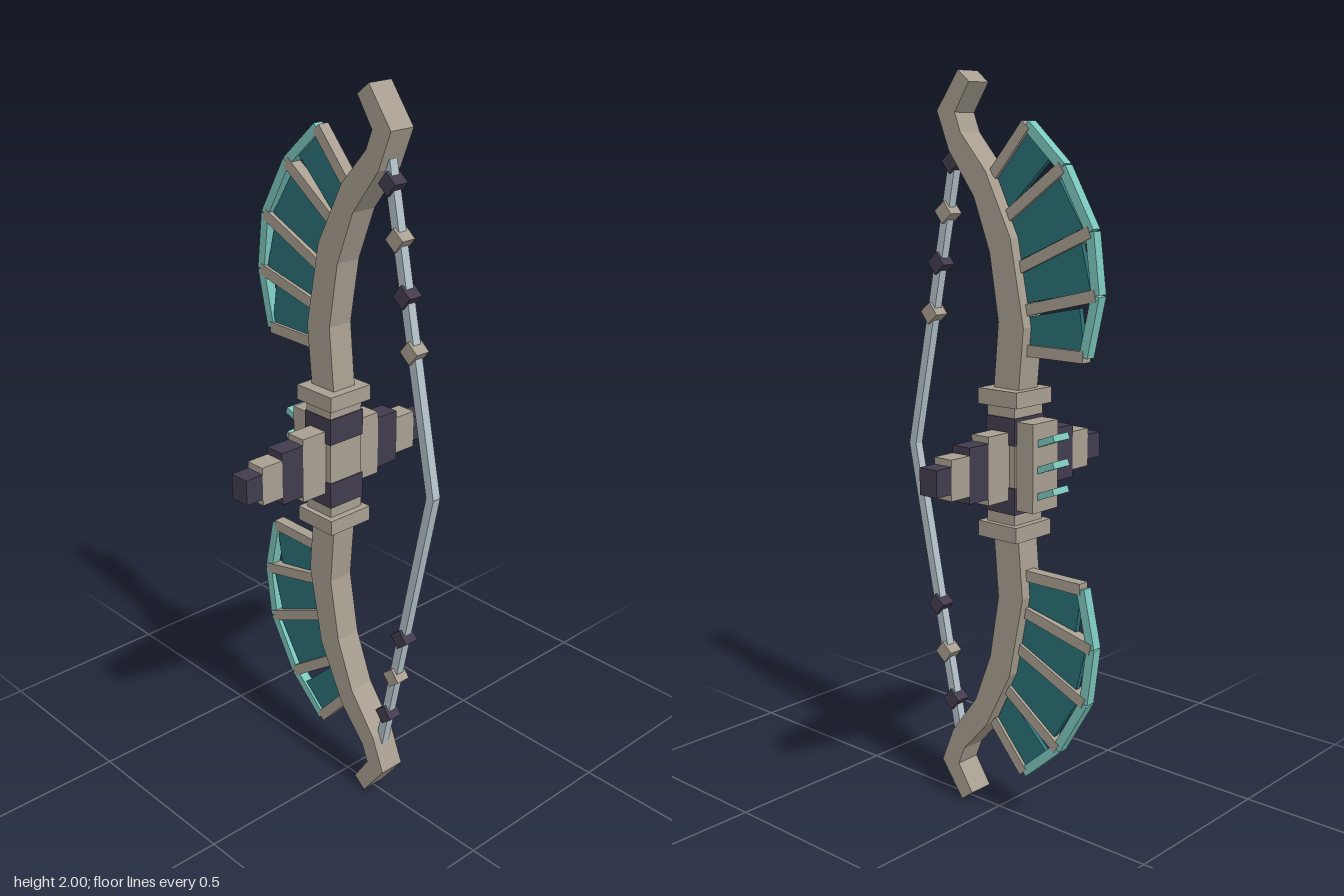
import * as THREE from 'three';

const mat = (name, color) => {
  const m = new THREE.MeshStandardMaterial({ color });
  m.name = name;
  return m;
};

export function createModel() {
  const tan = mat('bone tan', 0xa89f91);
  const dark = mat('dark wrap', 0x423c4e);
  const teal = mat('teal membrane', 0x2a7076);
  const mint = mat('mint edge', 0x7cc8be);
  const cord = mat('pale string', 0xb4c2ca);

  const bow = new THREE.Group();
  bow.name = 'bow';

  const box = (name, m, w, h, d, x, y, z = 0, parent = bow) => {
    const b = new THREE.Mesh(new THREE.BoxGeometry(w, h, d), m);
    b.name = name;
    b.position.set(x, y, z);
    parent.add(b);
    return b;
  };
  // Square bar between two points in the xy plane
  const bar = (name, m, [x0, y0], [x1, y1], width, depth, parent = bow) => {
    const len = Math.hypot(x1 - x0, y1 - y0);
    const b = box(name, m, len, width, depth, (x0 + x1) / 2, (y0 + y1) / 2, 0, parent);
    b.rotation.z = Math.atan2(y1 - y0, x1 - x0);
    return b;
  };
  // Flat outline extruded evenly about z = 0
  const slab = (name, m, pts, depth, parent = bow) => {
    const shape = new THREE.Shape(pts.map(([x, y]) => new THREE.Vector2(x, y)));
    const g = new THREE.ExtrudeGeometry(shape, { depth, bevelEnabled: false });
    g.translate(0, 0, -depth / 2);
    const s = new THREE.Mesh(g, m);
    s.name = name;
    parent.add(s);
  };

  // Limb outline, rib lines (root, tip) and membranes of the upper half
  const limb = [
    [-0.015, 1.17], [-0.015, 1.2], [-0.03, 1.37], [0, 1.545], [0.055, 1.685],
    [0.142, 1.8], [0.183, 1.9], [0.108, 2], [0.07, 1.97], [0.12, 1.895],
    [0.1, 1.845], [0.015, 1.75], [-0.07, 1.585], [-0.115, 1.36], [-0.1, 1.2], [-0.1, 1.17],
  ];
  const ribs = [
    [[-0.1, 1.3], [-0.29, 1.3]],
    [[-0.09, 1.4], [-0.325, 1.455]],
    [[-0.06, 1.5], [-0.305, 1.608]],
    [[-0.03, 1.63], [-0.216, 1.76]],
    [[0.01, 1.74], [-0.1, 1.863]],
  ];
  const membranes = [
    [[-0.1, 1.31], [-0.1, 1.385], [-0.272, 1.42], [-0.288, 1.31]],
    [[-0.1, 1.42], [-0.08, 1.495], [-0.275, 1.58], [-0.305, 1.465]],
    [[-0.06, 1.52], [-0.035, 1.615], [-0.2, 1.735], [-0.278, 1.615]],
    [[-0.04, 1.655], [0, 1.735], [-0.105, 1.85], [-0.182, 1.79]],
  ];

  for (const side of [1, -1]) {
    const half = new THREE.Group();
    half.name = side > 0 ? 'upperHalf' : 'lowerHalf';
    bow.add(half);
    const flip = ([x, y]) => [x, 1 + side * (y - 1)];

    slab('limb', tan, limb.map(flip), 0.074, half);

    // Fan fin: ribs, webbing and bright outer rim
    ribs.forEach(([a, b]) => bar('finRib', tan, flip(a), flip(b), 0.03, 0.032, half));
    membranes.forEach((p) => slab('finMembrane', teal, p.map(flip), 0.014, half));
    for (let i = 0; i < 4; i++) {
      bar('finRim', mint, flip(ribs[i][1]), flip(ribs[i + 1][1]), 0.026, 0.028, half);
    }

    // Bowstring half with its beads
    bar('string', cord, flip([0.143, 1.825]), flip([0.313, 0.998]), 0.025, 0.025, half);
    const beads = side > 0 ? [1.77, 1.64, 1.505, 1.37] : [1.72, 1.585, 1.45];
    beads.forEach((y, i) => {
      const x = 0.143 + (1.825 - y) * 0.2056;
      const b = box('stringBead', i % 2 ? tan : dark, 0.042, 0.042, 0.042, x, 1 + side * (y - 1), 0, half);
      b.rotation.z = Math.PI / 4 + side * 0.1;
    });

    // Grip collar and dark wrapping
    box('collar', tan, 0.132, 0.042, 0.14, -0.055, 1 + side * 0.178, 0, half);
    box('gripWrap', dark, 0.1, 0.072, 0.116, -0.055, 1 + side * 0.092, 0, half);
  }

  // Grip core and outer plate
  box('grip', tan, 0.094, 0.34, 0.11, -0.055, 1);
  box('gripPlate', tan, 0.06, 0.235, 0.1, -0.13, 1.002);

  // Small slanted spikes on the plate
  [1.075, 1.005, 0.935].forEach((y) =>
    bar('spike', mint, [-0.15, y - 0.012], [-0.212, y + 0.012], 0.018, 0.062));

  // Stepped side arms, alternating in colour
  const steps = [[0.03, 0.135, 0.09], [0.135, 0.206, 0.073], [0.206, 0.272, 0.053], [0.272, 0.325, 0.035]];
  for (const side of [1, -1]) {
    steps.forEach(([z0, z1, r], i) =>
      box('sideArmStep', i % 2 ? dark : tan, 0.058, r * 2, z1 - z0, -0.055, 1, side * (z0 + z1) / 2));
  }
  return bow;
}
